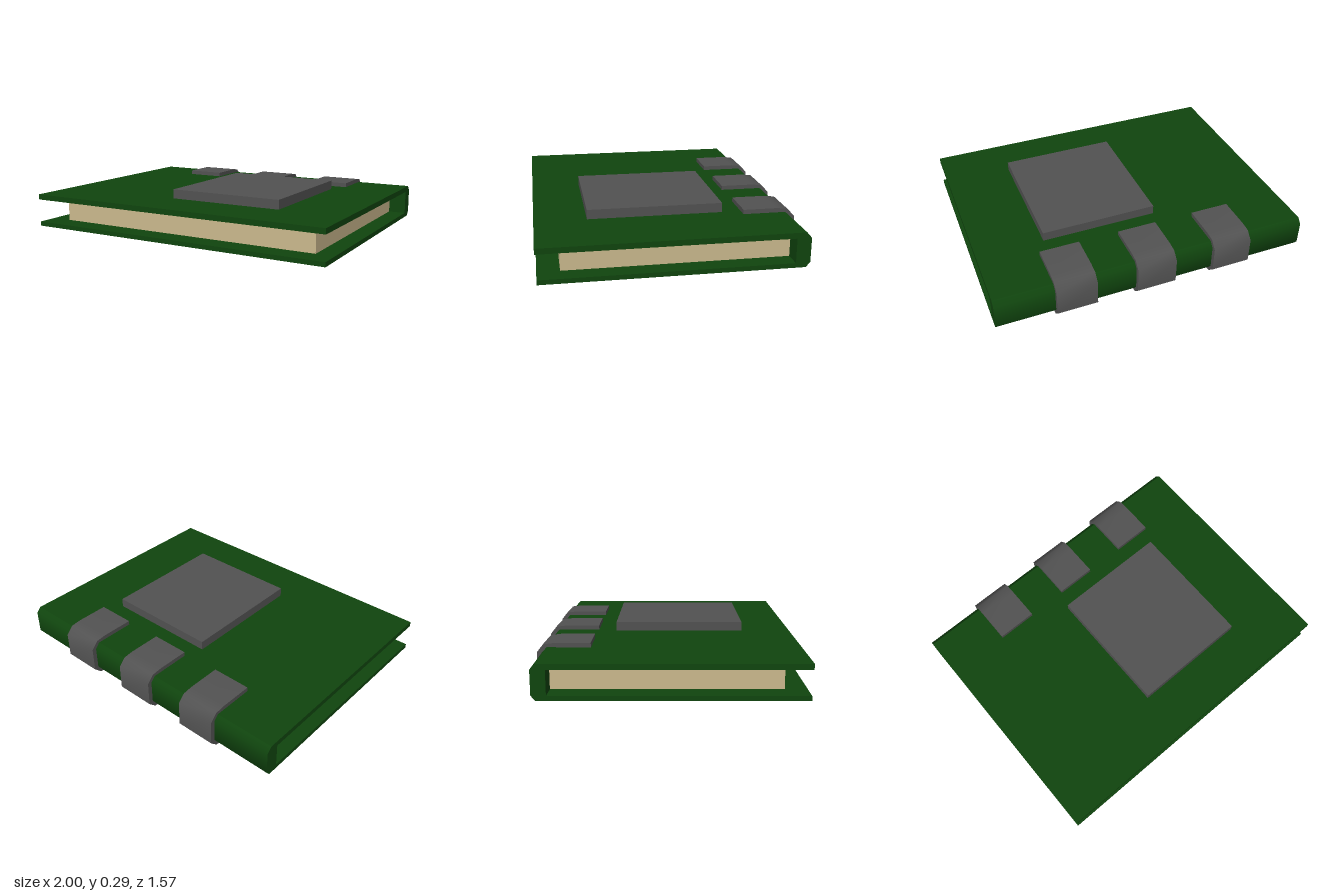
import * as THREE from 'three';
import { toCreasedNormals } from 'three/addons/utils/BufferGeometryUtils.js';

const green = new THREE.MeshStandardMaterial({ color: 0x10450e });
const paper = new THREE.MeshStandardMaterial({ color: 0xcbb98d });
const iron = new THREE.MeshStandardMaterial({ color: 0x525252 });

// Extrudes a side profile of [z, y] points across x, centred on x = 0
function sideProfile(points, width) {
  const shape = new THREE.Shape(points.map(([z, y]) => new THREE.Vector2(z, y)));
  const geometry = new THREE.ExtrudeGeometry(shape, { depth: width, bevelEnabled: false });
  geometry.translate(0, 0, -width / 2).rotateY(-Math.PI / 2);
  return toCreasedNormals(geometry, 0.8);
}

// Box given by its minimum and maximum corners
function box([x0, y0, z0], [x1, y1, z1]) {
  return new THREE.BoxGeometry(x1 - x0, y1 - y0, z1 - z0)
    .translate((x0 + x1) / 2, (y0 + y1) / 2, (z0 + z1) / 2);
}

export function createModel() {
  const book = new THREE.Group();
  book.name = 'book';

  function add(name, geometry, material, x = 0) {
    const mesh = new THREE.Mesh(geometry, material);
    mesh.name = name;
    mesh.position.x = x;
    book.add(mesh);
  }

  // Front and back boards joined by the chamfered spine
  const spine = [[-0.725, 0.237], [-0.755, 0.203], [-0.755, 0.058], [-0.73, 0.027]];
  add('cover', sideProfile([
    [0.785, 0.237], ...spine, [0.78, 0.027],
    [0.78, 0.055], [-0.67, 0.055], [-0.67, 0.203], [0.785, 0.203],
  ], 2), green);

  // Page block
  add('pages', box([-0.87, 0.055, -0.67], [0.89, 0.203, 0.65]), paper);

  // Raised plate on the front board
  add('coverPlate', box([-0.155, 0.237, -0.345], [0.58, 0.295, 0.473]), iron);

  // Three bands wrapped around the spine
  const band = sideProfile([
    [-0.463, 0.264], [-0.673, 0.264], [-0.738, 0.256], [-0.783, 0.208],
    [-0.783, 0.05], [-0.738, 0.007], [-0.69, 0], [-0.463, 0],
    [-0.463, 0.027], ...spine.slice().reverse(), [-0.463, 0.237],
  ], 0.25);
  for (const x of [-0.495, 0.01, 0.515]) add('spineBand', band, iron, x);

  return book;
}
